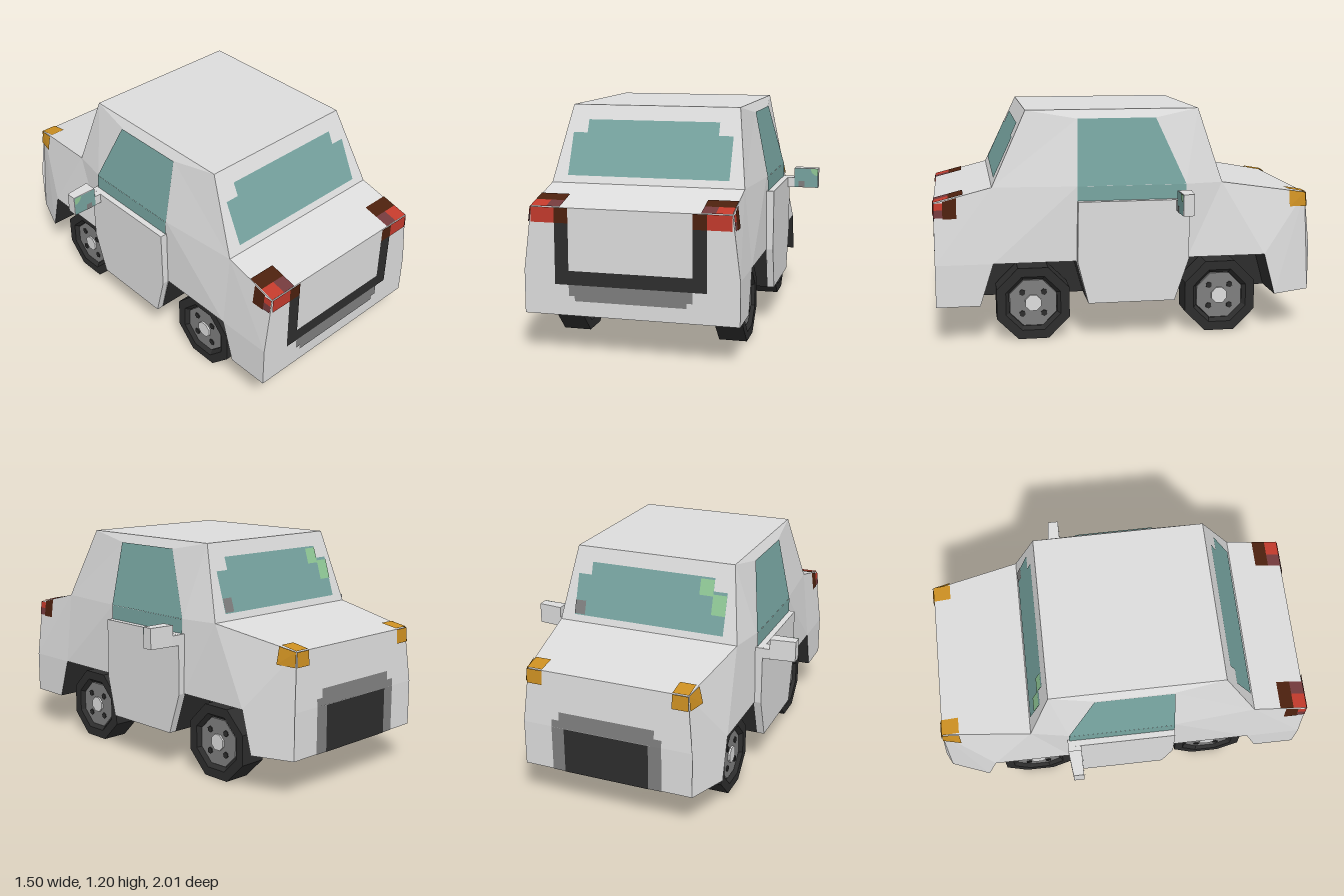
import * as THREE from 'three';

const mat = (name, color) => new THREE.MeshStandardMaterial({ name, color, flatShading: true, side: THREE.DoubleSide });
const MAT = {
  body: mat('body paint', 0xdcdcdc), glass: mat('glass', 0x76a39f), glint: mat('glass glint', 0x90c896),
  orange: mat('headlight orange', 0xcc8f22), red: mat('tail light red', 0xc23a2c),
  brown: mat('tail light brown', 0x4c200e), maroon: mat('tail light maroon', 0x733a3c),
  grey: mat('rim grey', 0x7e7e7e), dark: mat('rubber dark', 0x2d2d2d),
};

// Flat polygons (fan triangulated, turned outward, optionally lifted off the surface) in one mesh
function polys(name, material, faces, lift = 0) {
  const pos = [];
  for (const f of faces) {
    let p = f.map(v => new THREE.Vector3(...v));
    const n = p[1].clone().sub(p[0]).cross(p[2].clone().sub(p[0])).normalize();
    const c = p.reduce((s, v) => s.add(v), new THREE.Vector3()).divideScalar(p.length);
    if (n.dot(c.sub(new THREE.Vector3(0, 0.5, 0))) < 0) { n.negate(); p = [p[0], ...p.slice(1).reverse()]; }
    p.forEach(v => v.addScaledVector(n, lift));
    for (let i = 1; i < p.length - 1; i++) for (const v of [p[0], p[i], p[i + 1]]) pos.push(v.x, v.y, v.z);
  }
  const g = new THREE.BufferGeometry();
  g.setAttribute('position', new THREE.Float32BufferAttribute(pos, 3));
  g.computeVertexNormals();
  const m = new THREE.Mesh(g, material);
  m.name = name;
  return m;
}
const both = faces => [...faces, ...faces.map(f => f.map(([x, y, z]) => [-x, y, z]))];
// Rectangle from (x0,a0) to (x1,a1) laid on a surface given by at(x, a) -> point
const rect = (at, x0, a0, x1, a1) => [at(x0, a0), at(x1, a0), at(x1, a1), at(x0, a1)];

// Body surfaces as functions
const rear = (x, y) => [x, y, 1];
const deck = (x, z) => [x, 0.735 + (1 - z) * 0.254, z];
const rearSlope = (x, y) => [x, y, 0.705 - (y - 0.81) * 0.4675];
const frontSlope = (x, y) => [x, y, -0.5 + (y - 0.81) * 0.3117];
const hood = (x, z) => [x, 0.73 + (z + 0.98) * 0.1667, z];
const nose = (x, y) => [x, y, -1 + Math.max(0, y - 0.44) * 0.069];
const rearSide = (z, y) => [0.54 - (y - 0.42) * 0.125, y, z];

function mesh(name, geo, material, x = 0, y = 0, z = 0) {
  const m = new THREE.Mesh(geo, material);
  m.name = name;
  m.position.set(x, y, z);
  return m;
}

function makeBody(car) {
  // Centre strip: [half width, y, z] from tail over the roof to the nose
  const strip = [[0.54, 0.2, 1], [0.54, 0.42, 1], [0.5, 0.735, 1], [0.5, 0.81, 0.705], [0.44, 1.195, 0.525],
    [0.44, 1.195, -0.38], [0.5, 0.81, -0.5], [0.43, 0.73, -0.98], [0.46, 0.44, -1], [0.46, 0.2, -1]];
  const centre = strip.slice(1).map((b, i) => {
    const a = strip[i];
    return [a, b, [-b[0], b[1], b[2]], [-a[0], a[1], a[2]]];
  });
  const [, R1, R2, D, T1, T2, C, N, N1, N0] = strip;
  const lo = z => [0.54, 0.42, z], bt = z => [0.54, 0.2, z];
  const beltR = [0.535, 0.81, 0.27], beltF = [0.535, 0.81, -0.3];
  const topR = [0.465, 1.15, 0.26], topF = [0.465, 1.15, -0.15];
  const sides = [
    [bt(1), bt(0.775), lo(0.705), lo(1)],
    [bt(0.22), bt(-0.235), lo(-0.31), lo(0.28)],
    [N, C, lo(-0.73), bt(-0.79), N0, N1],
    [R1, lo(0.705), D, R2],
    [lo(0.705), lo(0.28), beltR, D],
    [lo(0.28), lo(-0.31), beltF, beltR],
    [lo(-0.31), lo(-0.73), C, beltF],
    [D, beltR, topR, T1],
    [beltR, beltF, topF, topR],
    [topR, topF, T2, T1],
    [beltF, C, T2, topF],
  ];
  car.add(polys('bodyShell', MAT.body, [...centre, ...both(sides)]));

  // Dark floor and wheel wells
  const inX = 0.33, under = [[inX, 0.2, 1], [-inX, 0.2, 1], [-inX, 0.2, -1], [inX, 0.2, -1]];
  const floor = [[1, 0.775], [0.22, -0.235]].map(([a, b]) => [[inX, 0.2, a], bt(a), bt(b), [inX, 0.2, b]]);
  floor.push([[inX, 0.2, -0.79], bt(-0.79), N0, [inX, 0.2, -1]]);
  const wells = [];
  for (const [a, b, c, d] of [[0.775, 0.705, 0.28, 0.22], [-0.235, -0.31, -0.73, -0.79]]) {
    const path = [[0.2, a], [0.42, b], [0.42, c], [0.2, d]];
    for (let i = 0; i < 3; i++) {
      const [p, q] = [path[i], path[i + 1]];
      wells.push([[0.54, ...p], [0.54, ...q], [inX, ...q], [inX, ...p]]);
    }
    wells.push(path.map(p => [inX, ...p]));
  }
  car.add(polys('floor', MAT.dark, [under, ...both(floor)]));
  car.add(polys('wheelWells', MAT.dark, both(wells)));

  // Windows
  car.add(polys('sideWindows', MAT.glass, both([
    [beltR, beltF, topF, topR],
    [[0.538, 0.725, 0.27], [0.538, 0.725, -0.3], beltF, beltR],
  ]), 0.005));
  for (const [name, at] of [['rearWindow', rearSlope], ['windshield', frontSlope]])
    car.add(polys(name, MAT.glass, [rect(at, -0.42, 0.845, 0.42, 1.055), rect(at, -0.345, 1.055, 0.345, 1.12)], 0.004));
  car.add(polys('windshieldGlint', MAT.glint,
    [rect(frontSlope, -0.42, 0.94, -0.345, 1.04), rect(frontSlope, -0.345, 1.03, -0.27, 1.11)], 0.007));
  car.add(polys('windshieldPatch', MAT.grey, [rect(frontSlope, 0.36, 0.85, 0.42, 0.92)], 0.007));

  // Tailgate frame and bumper bar
  car.add(polys('tailgateFrame', MAT.dark, [rect(rear, -0.38, 0.355, 0.38, 0.425),
    ...both([rect(rear, 0.31, 0.425, 0.38, 0.66)])], 0.004));
  car.add(polys('rearBumperBar', MAT.grey,
    [rect(rear, -0.31, 0.3, 0.31, 0.355), rect(rear, -0.28, 0.275, 0.28, 0.3)], 0.004));

  // Grille
  car.add(polys('grilleSurround', MAT.grey, [rect(nose, -0.3, 0.2, 0.3, 0.44), rect(nose, -0.3, 0.44, 0.3, 0.48),
    rect(nose, -0.26, 0.48, 0.26, 0.525)], 0.004));
  car.add(polys('grille', MAT.dark, [rect(nose, -0.23, 0.2, 0.23, 0.44)], 0.007));

  // Lights wrapping the corners
  car.add(polys('headlights', MAT.orange, both([
    rect(hood, 0.35, -0.98, 0.435, -0.885),
    rect(nose, 0.35, 0.655, 0.435, 0.73),
    [[0.43, 0.73, -0.98], [0.444, 0.746, -0.885], [0.463, 0.66, -0.885], [0.438, 0.655, -0.985]],
  ]), 0.006));
  car.add(polys('tailLightRed', MAT.red, both([
    rect(rear, 0.38, 0.66, 0.5, 0.735), rect(deck, 0.42, 0.925, 0.5, 1), rect(rearSide, 0.955, 0.7, 1, 0.735),
  ]), 0.005));
  car.add(polys('tailLightMaroon', MAT.maroon, both([
    rect(deck, 0.35, 0.925, 0.42, 1), rect(rearSide, 0.955, 0.66, 1, 0.7),
  ]), 0.005));
  car.add(polys('tailLightBrown', MAT.brown, both([
    rect(rear, 0.31, 0.66, 0.38, 0.735), rect(deck, 0.35, 0.85, 0.5, 0.925),
    [rearSide(0.885, 0.655), rearSide(0.955, 0.655), rearSide(0.955, 0.742), rearSide(0.885, 0.76)],
  ]), 0.005));
}

// Door slab and wing mirror on side s
function makeDoor(s) {
  const g = new THREE.Group();
  g.name = s > 0 ? 'leftDoor' : 'rightDoor';
  const outline = [[0.27, 0.735], [0.275, 0.42], [0.22, 0.2], [-0.235, 0.2], [-0.31, 0.42], [-0.31, 0.735]];
  const shape = new THREE.Shape(outline.map(([z, y]) => new THREE.Vector2(-z, y)));
  const slab = new THREE.ExtrudeGeometry(shape, { depth: 0.04, bevelEnabled: false }).rotateY(Math.PI / 2);
  g.add(mesh('doorPanel', slab, MAT.body, s > 0 ? 0.535 : -0.575));
  g.add(mesh('mirrorArm', new THREE.BoxGeometry(0.08, 0.055, 0.07), MAT.body, s * 0.575, 0.707, -0.275));
  const house = new THREE.BoxGeometry(0.135, 0.11, 0.07), p = house.attributes.position;
  for (let i = 0; i < p.count; i++) if (p.getX(i) * s > 0 && p.getZ(i) < 0) p.setZ(i, -0.02);
  g.add(mesh('mirrorHousing', house, MAT.body, s * 0.68, 0.735, -0.275));
  g.add(mesh('mirrorGlass', new THREE.PlaneGeometry(0.133, 0.108), MAT.glass, s * 0.68, 0.735, -0.237));
  const start = s > 0 ? Math.PI : Math.PI * 1.5;
  g.add(mesh('mirrorGlint', new THREE.CircleGeometry(0.04, 6, start, Math.PI / 2), MAT.glint, s * 0.746, 0.789, -0.234));
  g.add(mesh('mirrorPatch', new THREE.PlaneGeometry(0.035, 0.035), MAT.grey, s * 0.655, 0.699, -0.234));
  return g;
}

// Octagonal wheel, the same on both faces
function makeWheel(name, x, z) {
  const g = new THREE.Group();
  g.name = name;
  const across = geo => geo.rotateY(Math.PI / 8).rotateZ(Math.PI / 2);
  const prof = [[0.135, -0.05], [0.155, -0.0725], [0.206, -0.0725], [0.206, 0.0725], [0.155, 0.0725], [0.135, 0.05]];
  g.add(mesh('tire', across(new THREE.LatheGeometry(prof.map(p => new THREE.Vector2(...p)), 8)), MAT.dark));
  g.add(mesh('rim', across(new THREE.CylinderGeometry(0.132, 0.132, 0.11, 8)), MAT.grey));
  g.add(mesh('hub', across(new THREE.CylinderGeometry(0.045, 0.045, 0.13, 8)), MAT.body));
  for (const a of [-1, 1]) for (const b of [-1, 1])
    g.add(mesh('bolt', across(new THREE.CylinderGeometry(0.017, 0.017, 0.122, 6)), MAT.dark, 0, a * 0.057, b * 0.057));
  g.position.set(x, 0.19, z);
  return g;
}

export function createModel() {
  const car = new THREE.Group();
  car.name = 'car';
  makeBody(car);
  for (const s of [1, -1]) {
    const side = s > 0 ? 'left' : 'right';
    car.add(makeDoor(s));
    car.add(makeWheel(side + 'TailWheel', s * 0.423, 0.5), makeWheel(side + 'NoseWheel', s * 0.423, -0.5));
  }
  return car;
}
